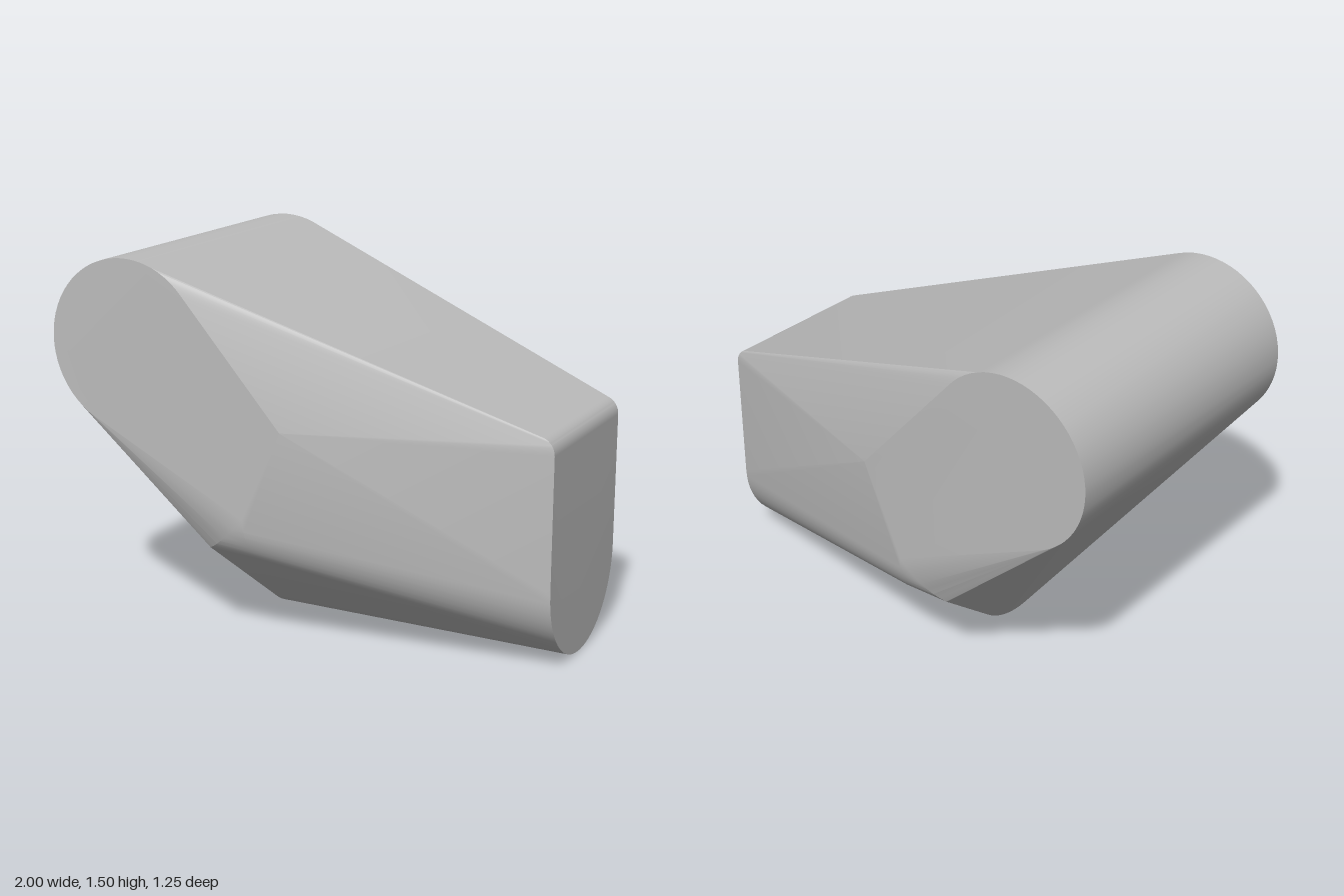
import * as THREE from 'three';
import { ConvexGeometry } from 'three/addons/geometries/ConvexGeometry.js';
import { toCreasedNormals } from 'three/addons/utils/BufferGeometryUtils.js';

export function createModel() {
  const group = new THREE.Group();
  const grey = new THREE.MeshStandardMaterial({ color: 0xbcbcbc });
  grey.name = 'plain grey';

  const points = [];
  const add = (x, y, z) => points.push(new THREE.Vector3(x, y, z));
  const mirrored = (x, y, z) => { add(x, y, z); add(x, y, -z); };

  // Thick round bar across the high end
  const barSteps = 64;
  for (let i = 0; i < barSteps; i++) {
    const a = (i / barSteps) * Math.PI * 2;
    mirrored(-0.66 + 0.34 * Math.cos(a), 1.16 + 0.34 * Math.sin(a), 0.625);
  }

  // Rounded keel along x, ending in the narrow face
  const keelSteps = 32;
  for (let i = 0; i <= keelSteps; i++) {
    const a = Math.PI + (i / keelSteps) * Math.PI;
    const y = 0.335 + 0.335 * Math.sin(a);
    const z = 0.335 * Math.cos(a);
    add(1, y, z);
    add(-0.25, y, z);
  }

  // Rounded upper edge of the narrow face
  for (let i = 0; i <= 8; i++) {
    const a = (i / 8) * 1.22;
    mirrored(0.93 + 0.07 * Math.cos(a), 0.87 + 0.07 * Math.sin(a), 0.335);
  }

  // Shoulders: widest corner, then a rounded lower edge on each side
  mirrored(0.02, 0.9, 0.625);
  for (let i = 0; i <= 8; i++) {
    const a = (i / 8) * 0.95;
    const y = 0.53 - 0.2 * Math.sin(a);
    const z = 0.485 + 0.14 * Math.cos(a);
    mirrored(-0.15 + 0.02 * (i / 8), y, z);
    mirrored(-0.15 - 0.18 * (i / 8), y + 0.01 * (i / 8), z);
  }

  // One convex skin over all the cross-sections
  const body = new THREE.Mesh(toCreasedNormals(new ConvexGeometry(points), 0.25), grey);
  body.name = 'body';
  group.add(body);
  return group;
}
